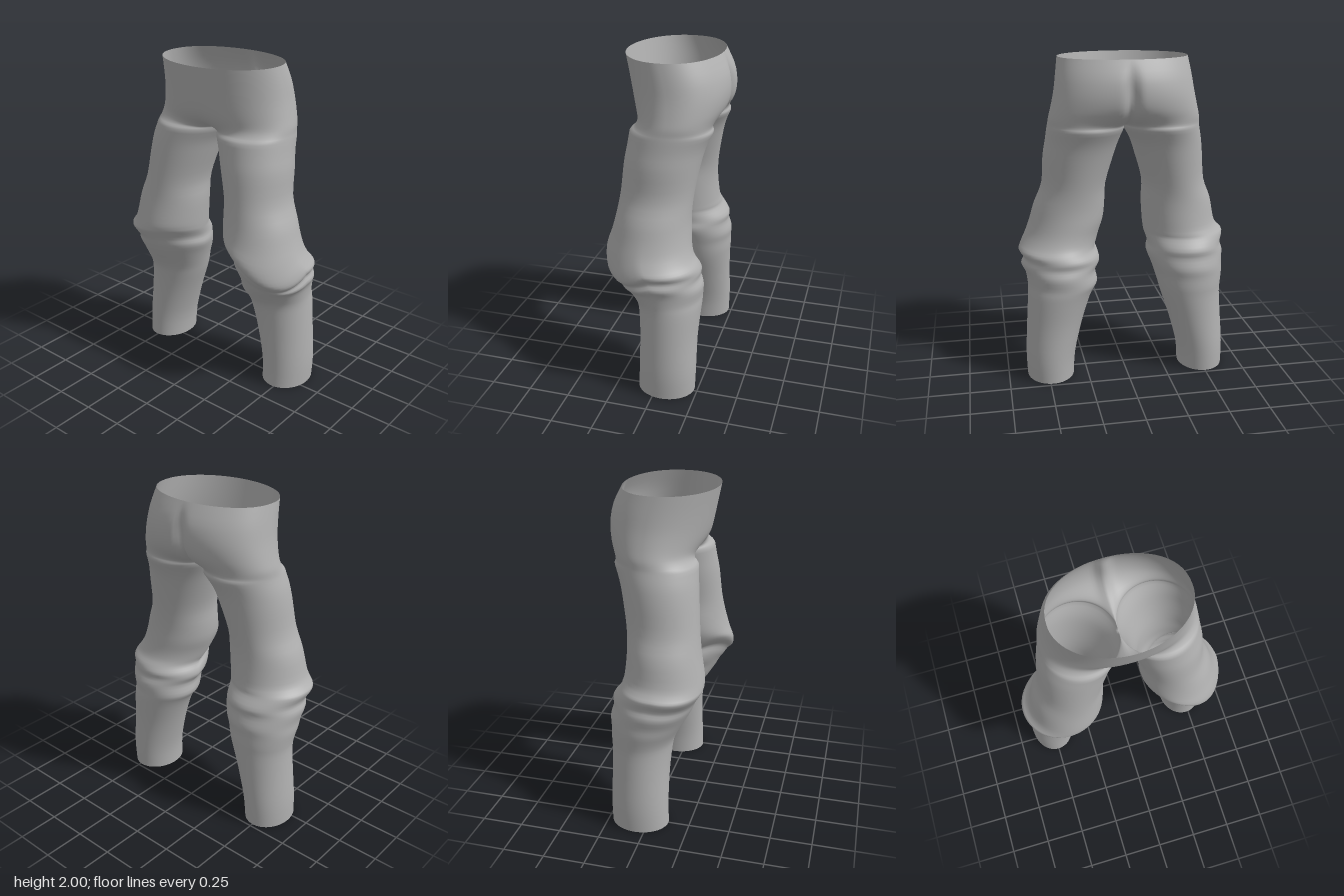
import * as THREE from 'three';
import { mergeVertices } from 'three/addons/utils/BufferGeometryUtils.js';

// Each row: y, outer x, inner x, front z, back z, front seam opening, back seam opening.
// Opening 1 = section is half of the pelvis outline, 0 = closed leg loop.
const PELVIS = [
  [2.00, 0.39, 0, 0.300, -0.265, 1, 1],
  [1.90, 0.405, 0, 0.280, -0.315, 1, 1],
  [1.80, 0.42, 0, 0.260, -0.335, 1, 0.97],
  [1.71, 0.44, 0, 0.240, -0.325, 0.98, 0.92],
  [1.65, 0.455, 0, 0.225, -0.300, 0.85, 0.75],
  [1.61, 0.46, 0, 0.225, -0.275, 0.5, 0.4],
  [1.58, 0.465, 0, 0.225, -0.260, 0, 0],
];
// Leg rows: y, outer x, inner x, front z, back z
const LEFT_LEG = [
  [1.50, 0.475, 0.03, 0.235, -0.225], [1.40, 0.49, 0.06, 0.25, -0.20],
  [1.23, 0.50, 0.105, 0.265, -0.17], [1.10, 0.55, 0.11, 0.285, -0.16],
  [1.00, 0.58, 0.12, 0.31, -0.165], [0.92, 0.61, 0.145, 0.335, -0.175],
  [0.86, 0.64, 0.165, 0.325, -0.195], [0.82, 0.655, 0.18, 0.29, -0.225],
  [0.78, 0.63, 0.16, 0.265, -0.24], [0.74, 0.645, 0.155, 0.24, -0.235],
  [0.69, 0.62, 0.185, 0.215, -0.255], [0.62, 0.61, 0.175, 0.17, -0.25],
  [0.57, 0.61, 0.205, 0.14, -0.25], [0.50, 0.615, 0.235, 0.125, -0.245],
  [0.35, 0.625, 0.28, 0.115, -0.235], [0.15, 0.635, 0.325, 0.115, -0.235],
  [0.00, 0.63, 0.335, 0.12, -0.23],
];
const RIGHT_LEG = [
  [1.50, 0.485, 0.045, 0.235, -0.225], [1.40, 0.50, 0.08, 0.245, -0.20],
  [1.23, 0.52, 0.13, 0.26, -0.17], [1.10, 0.57, 0.13, 0.275, -0.16],
  [0.96, 0.60, 0.14, 0.30, -0.17], [0.91, 0.63, 0.145, 0.305, -0.18],
  [0.88, 0.655, 0.15, 0.30, -0.19], [0.82, 0.63, 0.165, 0.265, -0.235],
  [0.77, 0.645, 0.155, 0.245, -0.23], [0.70, 0.635, 0.18, 0.21, -0.25],
  [0.64, 0.635, 0.20, 0.175, -0.245], [0.57, 0.625, 0.22, 0.14, -0.245],
  [0.50, 0.62, 0.24, 0.125, -0.24], [0.35, 0.63, 0.29, 0.115, -0.235],
  [0.15, 0.645, 0.345, 0.115, -0.235], [0.00, 0.645, 0.36, 0.12, -0.23],
];
const SEGMENTS = 64, STEPS = 3;

// Smooth the rows with a Catmull-Rom curve through every column
function refine(rows) {
  const out = [];
  for (let i = 0; i < rows.length - 1; i++) {
    const [a, b, c, d] = [rows[Math.max(i - 1, 0)], rows[i], rows[i + 1], rows[Math.min(i + 2, rows.length - 1)]];
    for (let k = 0; k < STEPS; k++) {
      const t = k / STEPS;
      out.push(b.map((v, n) => v + 0.5 * t * (c[n] - a[n]
        + t * (2 * a[n] - 5 * v + 4 * c[n] - d[n] + t * (3 * (v - c[n]) + d[n] - a[n])))));
    }
  }
  out.push(rows[rows.length - 1]);
  return out;
}

// One point of a section; s runs from the front seam round the outside to the back seam
function sectionPoint([y, xo, xi, zf, zb, kf, kb], s, foldTilt) {
  const front = s <= Math.PI / 2;
  const open = THREE.MathUtils.clamp(front ? kf : kb, 0, 1);
  const sin = Math.sin(s), cos = Math.cos(s);
  const inner = Math.max(xi, 0);
  const x = inner + (xo - inner) * THREE.MathUtils.lerp(sin * sin, sin, open);
  const cz = (zf + zb) / 2, hz = (zf - zb) / 2;
  const roundCos = front ? cos : -Math.pow(Math.abs(cos), 0.85);
  let z = cz + hz * THREE.MathUtils.lerp(Math.sin(2 * s), roundCos, open);
  // seat cleft
  if (!front) z += 0.04 * open * Math.exp(-((x / 0.035) ** 2)) * THREE.MathUtils.smoothstep(2 - y, 0, 0.2);
  // slanted cloth fold across the front of the knee
  const knee = Math.exp(-(((y - 0.84) / 0.13) ** 2));
  const lift = foldTilt * knee * Math.cos(2 * s) * Math.max(Math.sin(2 * s), 0);
  return [x, y + lift, z];
}

// Half of the garment: pelvis side and its leg
function addHalf(positions, indices, legRows, side, foldTilt) {
  const rows = refine([...PELVIS, ...legRows.map((r) => [...r, 0, 0])]);
  const base = positions.length / 3, stride = SEGMENTS + 1;
  rows.forEach((row, i) => {
    for (let j = 0; j <= SEGMENTS; j++) {
      const [x, y, z] = sectionPoint(row, (j / SEGMENTS) * Math.PI, foldTilt);
      positions.push(side * x, y, z);
      if (i === rows.length - 1 || j === SEGMENTS) continue;
      const a = base + i * stride + j, b = a + 1, c = a + stride, d = c + 1;
      if (side > 0) indices.push(a, c, b, b, c, d);
      else indices.push(a, b, c, b, d, c);
    }
  });
}

export function createModel() {
  const cloth = new THREE.MeshStandardMaterial({ color: 0xb0b0b0, side: THREE.DoubleSide });
  cloth.name = 'grey cloth';

  const positions = [], indices = [];
  addHalf(positions, indices, LEFT_LEG, 1, 0.14);
  addHalf(positions, indices, RIGHT_LEG, -1, 0.03);

  // weld the centre and inner leg seams so shading stays smooth
  let geometry = new THREE.BufferGeometry();
  geometry.setAttribute('position', new THREE.Float32BufferAttribute(positions, 3));
  geometry.setIndex(indices);
  geometry = mergeVertices(geometry, 1e-4);
  geometry.computeVertexNormals();

  const trousers = new THREE.Mesh(geometry, cloth);
  trousers.name = 'trousers';
  const group = new THREE.Group();
  group.name = 'trousersModel';
  group.add(trousers);
  return group;
}
